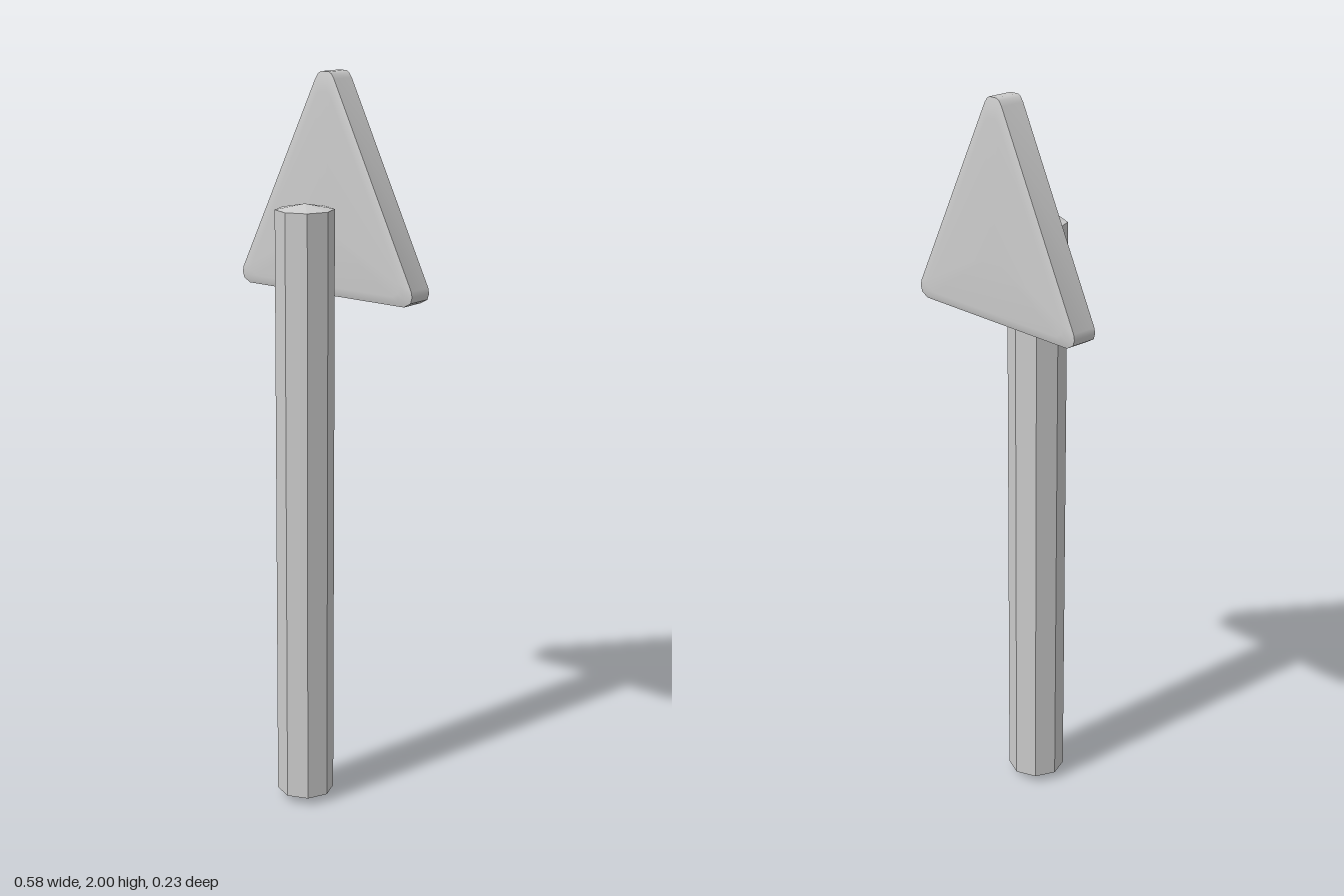
import * as THREE from 'three';
import { toCreasedNormals } from 'three/addons/utils/BufferGeometryUtils.js';

// Right half of the rounded triangle outline, apex to base
const half = [
  [0.013, 2], [0.022, 1.995], [0.031, 1.982],
  [0.288, 1.463], [0.291, 1.448], [0.286, 1.432], [0.265, 1.42],
];
// Cross-sections from back to front: [z, scale about the centre]
const sections = [
  [-0.118, 0], [-0.118, 0.87], [-0.1165, 0.94], [-0.112, 1],
  [-0.04, 1], [-0.0355, 0.94], [-0.034, 0.87], [-0.034, 0],
];

function triangleGeometry() {
  const centreY = 1.6;
  // Clockwise from the front: right half, then its mirror
  const outline = [...half, ...half.map(([x, y]) => [-x, y]).reverse()];
  const n = outline.length;
  const positions = [];
  const point = (s, i) => {
    const [z, k] = sections[s];
    const [x, y] = outline[i % n];
    return [x * k, centreY + (y - centreY) * k, z];
  };
  for (let s = 0; s < sections.length - 1; s++) {
    for (let i = 0; i < n; i++) {
      const a = point(s, i), b = point(s, i + 1);
      const c = point(s + 1, i + 1), d = point(s + 1, i);
      if (sections[s][1] > 0) positions.push(...a, ...d, ...b);
      if (sections[s + 1][1] > 0) positions.push(...b, ...d, ...c);
      // Close the fan where a section shrinks to the centre
      if (sections[s][1] === 0) continue;
    }
  }
  const geometry = new THREE.BufferGeometry();
  geometry.setAttribute('position', new THREE.Float32BufferAttribute(positions, 3));
  return toCreasedNormals(geometry, 0.55);
}

export function createModel() {
  const group = new THREE.Group();
  group.name = 'signPost';

  // Eight-sided post with shallow pointed ends
  const profile = [[0, 0], [0.078, 0.022], [0.078, 1.655], [0, 1.67]];
  const post = new THREE.Mesh(
    new THREE.LatheGeometry(profile.map(([r, y]) => new THREE.Vector2(r, y)), 8),
    new THREE.MeshStandardMaterial({ color: 0xcccccc, flatShading: true }),
  );
  post.name = 'post';
  post.position.z = 0.039;

  // Rounded triangular plate behind the top of the post
  const plate = new THREE.Mesh(
    triangleGeometry(),
    new THREE.MeshStandardMaterial({ color: 0xcccccc }),
  );
  plate.name = 'trianglePlate';

  group.add(post, plate);
  return group;
}
